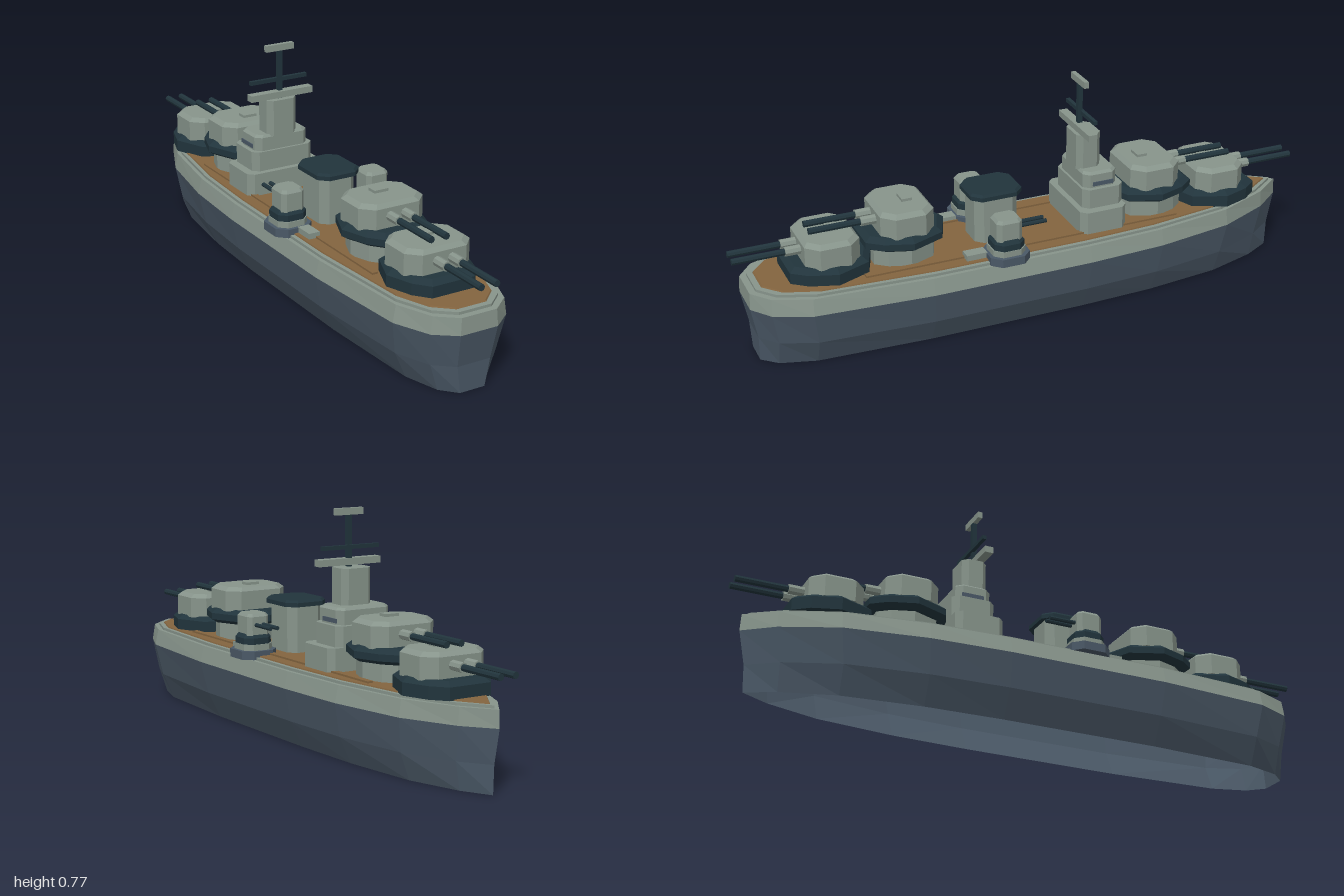
import * as THREE from 'three';

const mat = (name, color) => new THREE.MeshStandardMaterial({ name, color, flatShading: true, side: THREE.DoubleSide });
const M = {
  grey: mat('light grey paint', 0x87948b),
  dark: mat('dark steel', 0x21343c),
  hull: mat('hull blue grey', 0x4a5866),
  wood: mat('deck wood', 0x83643f),
};

// Mirror a half outline (bow to stern on +x) into a closed loop of [x, z].
const mirrored = (half) => half.concat(half.filter(p => p[0] > 0).reverse().map(([x, z]) => [-x, z]));
// Rectangle with cut corners; w and d are half sizes.
const cut = (w, d, c) => mirrored([[w - c, -d], [w, -d + c], [w, d - c], [w - c, d]]);

// Skin an outline through levels of [y, xScale, zScale], optionally closing both ends.
function loft(name, outline, levels, material, capped = true) {
  const pos = [];
  const ring = ([y, sx, sz = sx]) => outline.map(([x, z]) => [x * sx, y, z * sz]);
  const rings = levels.map(ring);
  const n = outline.length;
  for (let i = 0; i < n; i++) {
    const j = (i + 1) % n;
    for (let k = 0; k + 1 < rings.length; k++) {
      const a = rings[k], b = rings[k + 1];
      pos.push(...a[i], ...b[i], ...b[j], ...a[i], ...b[j], ...a[j]);
    }
    if (capped) {
      const lo = rings[0], hi = rings[rings.length - 1];
      pos.push(0, lo[0][1], 0, ...lo[i], ...lo[j], 0, hi[0][1], 0, ...hi[j], ...hi[i]);
    }
  }
  const g = new THREE.BufferGeometry();
  g.setAttribute('position', new THREE.Float32BufferAttribute(pos, 3));
  g.computeVertexNormals();
  const m = new THREE.Mesh(g, material);
  m.name = name;
  return m;
}

function box(name, w, h, d, x, y, z, material) {
  const m = new THREE.Mesh(new THREE.BoxGeometry(w, h, d), material);
  m.position.set(x, y, z);
  m.name = name;
  return m;
}

// Cylinder lying along z from z0 to z1.
function rod(name, r, x, y, z0, z1, material) {
  const m = new THREE.Mesh(new THREE.CylinderGeometry(r, r, z1 - z0, 8).rotateX(Math.PI / 2), material);
  m.position.set(x, y, (z0 + z1) / 2);
  m.name = name;
  return m;
}

const at = (obj, x, y, z) => { obj.position.set(x, y, z); return obj; };

// Main gun turret; raised ones stand on a tall barbette.
function mainTurret(name, z, raised, facing) {
  const g = new THREE.Group();
  g.name = name;
  const base = mirrored([[0, -0.15], [0.1, -0.11], [0.145, 0], [0.115, 0.09], [0.075, 0.14]]);
  const y = raised ? 0.37 : 0.315;
  if (raised) {
    g.add(loft('barbette', base, [[0.265, 0.78], [0.34, 0.78]], M.grey));
    g.add(loft('turretBase', base, [[0.325, 0.85], [0.338, 1], [0.36, 1], [0.375, 0.86]], M.dark));
  } else {
    g.add(loft('turretBase', base, [[0.265, 1], [0.305, 1], [0.32, 0.86]], M.dark));
  }
  g.add(at(loft('turretBody', cut(0.118, 0.09, 0.04), [[0, 1], [0.07, 1], [0.083, 0.86]], M.grey), 0, y, 0));
  g.add(box('roofHatch', 0.05, 0.012, 0.035, 0, y + 0.086, -0.02, M.grey));
  for (const x of [-0.027, 0.027]) {
    g.add(rod('barrelSleeve', 0.016, x, y + 0.043, 0.08, 0.14, M.grey));
    g.add(rod('gunBarrel', 0.011, x, y + 0.043, 0.08, 0.31, M.dark));
  }
  g.position.z = z;
  if (facing < 0) g.rotation.y = Math.PI;
  return g;
}

// Small side gun on its overhanging platform, guns pointing to the bow.
function sideTurret(side) {
  const g = new THREE.Group();
  g.name = side > 0 ? 'leftSideGun' : 'rightSideGun';
  g.add(loft('sponson', cut(0.066, 0.068, 0.03), [[0.256, 1], [0.284, 1]], M.hull));
  g.add(loft('sponsonRim', cut(0.054, 0.056, 0.025), [[0.28, 1], [0.304, 1]], M.grey));
  g.add(loft('gunBase', cut(0.052, 0.052, 0.024), [[0.3, 1], [0.325, 1], [0.338, 0.8]], M.dark));
  g.add(loft('gunHouse', cut(0.041, 0.044, 0.014), [[0.325, 1], [0.395, 1], [0.405, 0.82]], M.grey));
  for (const x of [-0.013, 0.013]) g.add(rod('smallBarrel', 0.007, x, 0.368, -0.135, -0.03, M.dark));
  g.add(box('step', 0.04, 0.02, 0.07, -side * 0.02, 0.277, 0.1, M.grey));
  g.position.set(side * 0.16, 0, 0.135);
  return g;
}

export function createModel() {
  const ship = new THREE.Group();
  ship.name = 'warship';

  // Hull, open underneath, with a pale upper belt and stepped rim
  const plan = mirrored([[0, -0.965], [0.075, -0.87], [0.155, -0.69], [0.2, -0.42], [0.214, -0.15],
    [0.214, 0.4], [0.186, 0.79], [0.135, 0.91], [0.066, 0.962]]);
  ship.add(loft('lowerHull', plan, [[0, 0.665, 0.975], [0.09, 0.885, 0.978], [0.2, 1]], M.hull, false));
  ship.add(loft('upperBelt', plan, [[0.2, 1], [0.255, 0.94, 0.997], [0.255, 0.88, 0.975],
    [0.264, 0.88, 0.975], [0.264, 0.8, 0.955]], M.grey, false));
  ship.add(loft('deck', plan, [[0.255, 0.83, 0.96], [0.268, 0.81, 0.95]], M.wood));
  for (const s of [-1, 1]) {
    ship.add(box('deckPlank', 0.02, 0.008, 1.1, s * 0.125, 0.27, 0.05, M.wood));
    ship.add(sideTurret(s));
  }

  // Four main turrets, the inner pair raised
  ship.add(mainTurret('sternLowerTurret', 0.69, false, 1));
  ship.add(mainTurret('sternUpperTurret', 0.44, true, 1));
  ship.add(mainTurret('bowUpperTurret', -0.44, true, -1));
  ship.add(mainTurret('bowLowerTurret', -0.69, false, -1));

  // Funnel
  ship.add(at(loft('funnel', cut(0.065, 0.075, 0.025), [[0.265, 1], [0.43, 1]], M.grey), 0, 0, 0.122));
  ship.add(at(loft('funnelCap', cut(0.078, 0.09, 0.03), [[0.424, 1], [0.438, 1], [0.446, 0.92]], M.dark), 0, 0, 0.122));

  // Bridge tower in stacked tiers
  const tower = new THREE.Group();
  tower.name = 'bridge';
  tower.add(at(loft('lowerTier', cut(0.145, 0.083, 0.02), [[0.265, 1], [0.345, 1]], M.grey), 0, 0, -0.227));
  tower.add(at(loft('middleTier', cut(0.115, 0.073, 0.02), [[0.34, 1], [0.412, 1]], M.grey), 0, 0, -0.237));
  tower.add(at(loft('upperTier', cut(0.1, 0.06, 0.02), [[0.41, 1], [0.458, 1], [0.466, 0.9]], M.grey), 0, 0, -0.232));
  tower.add(at(loft('towerColumn', cut(0.056, 0.043, 0.018), [[0.46, 1], [0.583, 1]], M.grey), 0, 0, -0.21));
  for (const s of [-1, 1]) tower.add(box('bridgeWindow', 0.006, 0.014, 0.075, s * 0.1, 0.425, -0.238, M.hull));
  tower.add(box('rangeFinder', 0.234, 0.022, 0.03, 0, 0.599, -0.19, M.grey));
  tower.add(box('mast', 0.016, 0.172, 0.016, 0, 0.662, -0.195, M.dark));
  tower.add(box('mastYard', 0.214, 0.013, 0.013, 0, 0.646, -0.203, M.dark));
  tower.add(box('mastTop', 0.104, 0.022, 0.016, 0, 0.759, -0.195, M.grey));
  ship.add(tower);

  return ship;
}
